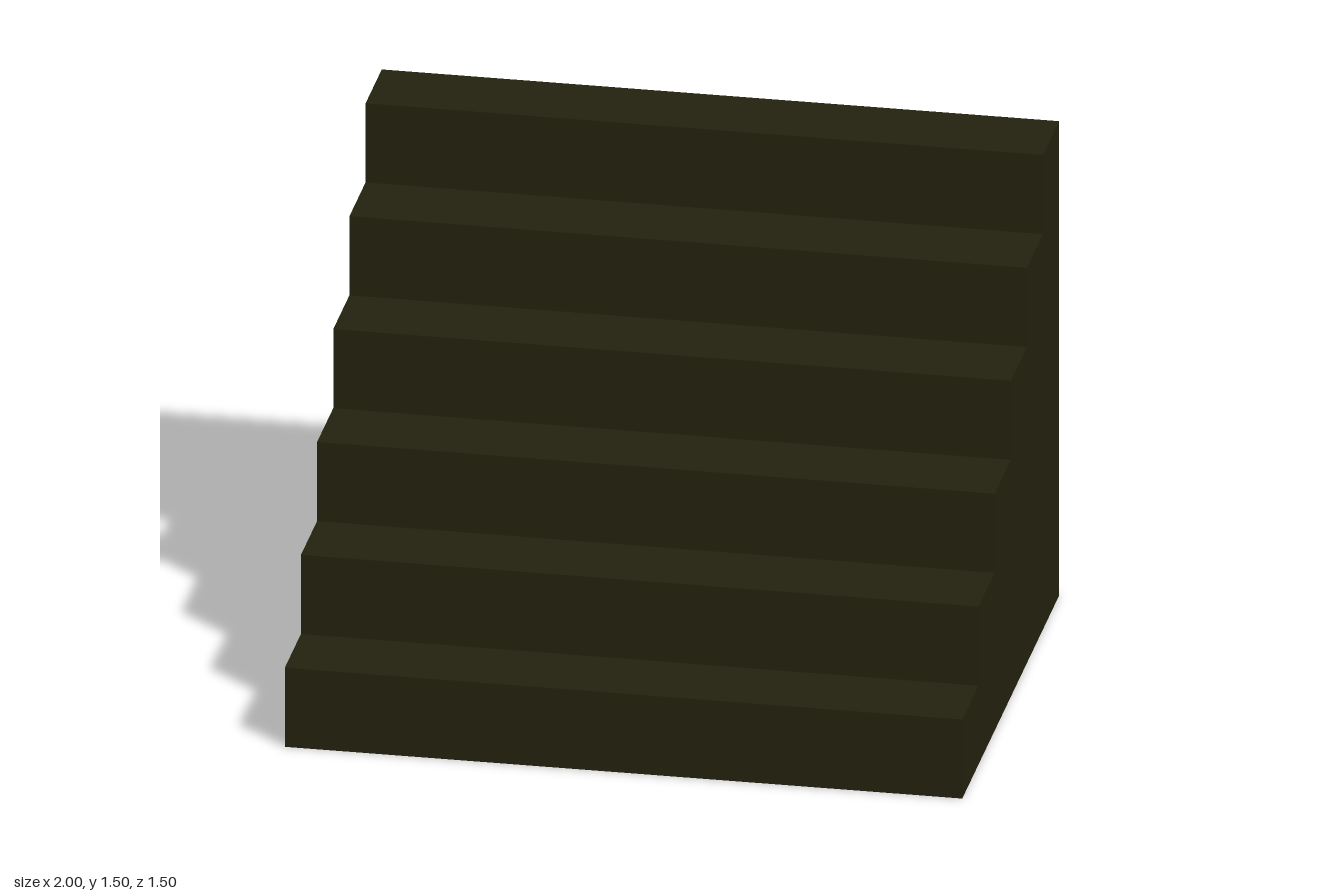
import * as THREE from 'three';

export function createModel() {
  const group = new THREE.Group();
  group.name = 'staircase';
  const darkOlive = new THREE.MeshStandardMaterial({ color: 0x24220f, side: THREE.DoubleSide });
  darkOlive.name = 'dark olive';

  const steps = 6, size = 0.25, width = 2, front = 0.75;

  const add = (name, geometry) => {
    const mesh = new THREE.Mesh(geometry, darkOlive);
    mesh.name = name;
    group.add(mesh);
    return mesh;
  };

  // Risers and treads: a thin open shell, hollow beneath
  const panel = new THREE.PlaneGeometry(width, size);
  const treadPanel = panel.clone().rotateX(-Math.PI / 2);
  for (let i = 0; i < steps; i++) {
    const z = front - i * size;
    add(`riser${i + 1}`, panel).position.set(0, (i + 0.5) * size, z);
    add(`tread${i + 1}`, treadPanel).position.set(0, (i + 1) * size, z - size / 2);
  }

  // Stepped side walls; the back and the bottom stay open
  const profile = new THREE.Shape();
  profile.moveTo(front - steps * size, 0);
  profile.lineTo(front, 0);
  for (let i = 0; i < steps; i++) {
    profile.lineTo(front - i * size, (i + 1) * size);
    profile.lineTo(front - (i + 1) * size, (i + 1) * size);
  }
  profile.closePath();
  const wall = new THREE.ShapeGeometry(profile).rotateY(-Math.PI / 2);
  add('leftSide', wall).position.x = width / 2;
  add('rightSide', wall).position.x = -width / 2;

  return group;
}
